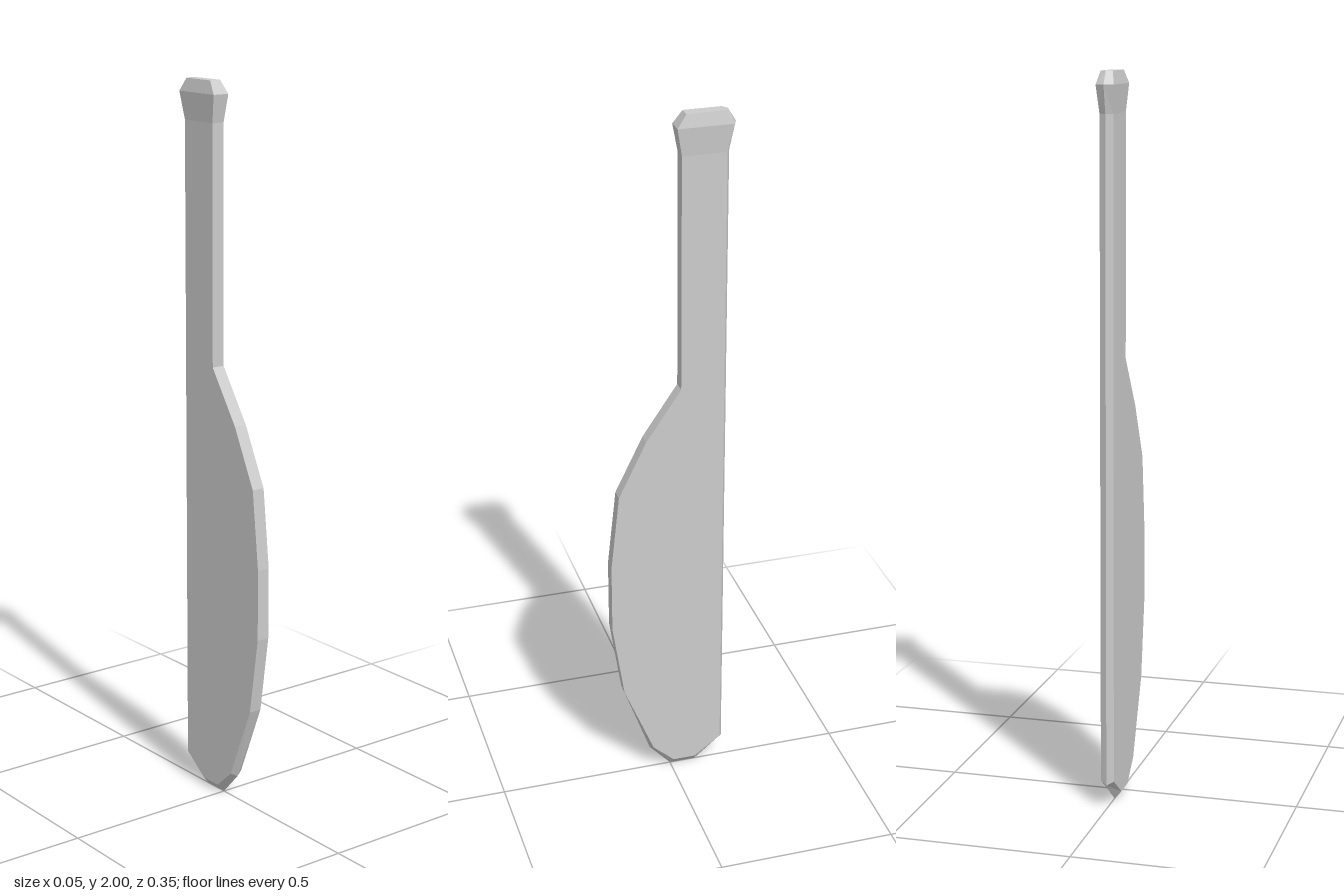
import * as THREE from 'three';

// Cross-sections from the tip up:
// [half width, side y, front z, back z, ridge y, front ridge z, back ridge z]
const SECTIONS = [
  [0, 0, 0, -0.075, 0, 0, -0.075],
  [0.0185, 0.022, -0.006, -0.07, 0, 0, -0.075],
  [0.0185, 0.078, 0.055, -0.147, 0.068, 0.062, -0.157],
  [0.0185, 0.29, 0.141, -0.147, 0.29, 0.141, -0.157],
  [0.0185, 0.51, 0.174, -0.147, 0.51, 0.174, -0.157],
  [0.0185, 0.71, 0.174, -0.147, 0.71, 0.174, -0.157],
  [0.0185, 0.93, 0.15, -0.147, 0.93, 0.15, -0.157],
  [0.0185, 1.09, 0.072, -0.147, 1.09, 0.072, -0.157],
  [0.0185, 1.235, -0.026, -0.147, 1.235, -0.026, -0.157],
  [0.0185, 1.89, -0.026, -0.147, 1.89, -0.026, -0.157],
  [0.024, 1.965, -0.013, -0.164, 1.965, -0.013, -0.174],
  [0.0165, 2, -0.038, -0.142, 2, -0.038, -0.152],
];

// Six corners of one section, counter-clockwise from above
const ring = ([w, y, zf, zb, ry, rf, rb]) => [
  [w, y, zf], [w, y, zb], [0, ry, rb], [-w, y, zb], [-w, y, zf], [0, ry, rf],
];

// Flat-shaded skin through consecutive sections, optionally closed on top
function loft(name, sections, material, capped = false) {
  const rings = sections.map(ring);
  const pos = [];
  const tri = (...corners) => corners.forEach((c) => pos.push(...c));
  for (let i = 0; i < rings.length - 1; i++) {
    for (let j = 0; j < 6; j++) {
      const k = (j + 1) % 6;
      const [a, b, c, d] = [rings[i][j], rings[i][k], rings[i + 1][k], rings[i + 1][j]];
      // split mirrored sides alike
      if (j < 2 || j === 5) { tri(a, b, c); tri(a, c, d); }
      else { tri(a, b, d); tri(b, c, d); }
    }
  }
  if (capped) {
    const top = rings[rings.length - 1];
    for (let j = 1; j < 5; j++) tri(top[0], top[j], top[j + 1]);
  }
  const geometry = new THREE.BufferGeometry();
  geometry.setAttribute('position', new THREE.Float32BufferAttribute(pos, 3));
  geometry.computeVertexNormals();
  const mesh = new THREE.Mesh(geometry, material);
  mesh.name = name;
  return mesh;
}

export function createModel() {
  const group = new THREE.Group();
  group.name = 'paddleBlade';
  const material = new THREE.MeshStandardMaterial({ color: 0xcccccc, flatShading: true });
  group.add(
    loft('blade', SECTIONS.slice(0, 9), material), // curved front, ridged back
    loft('handle', SECTIONS.slice(8, 10), material),
    loft('pommel', SECTIONS.slice(9), material, true), // flared, chamfered end
  );
  return group;
}
